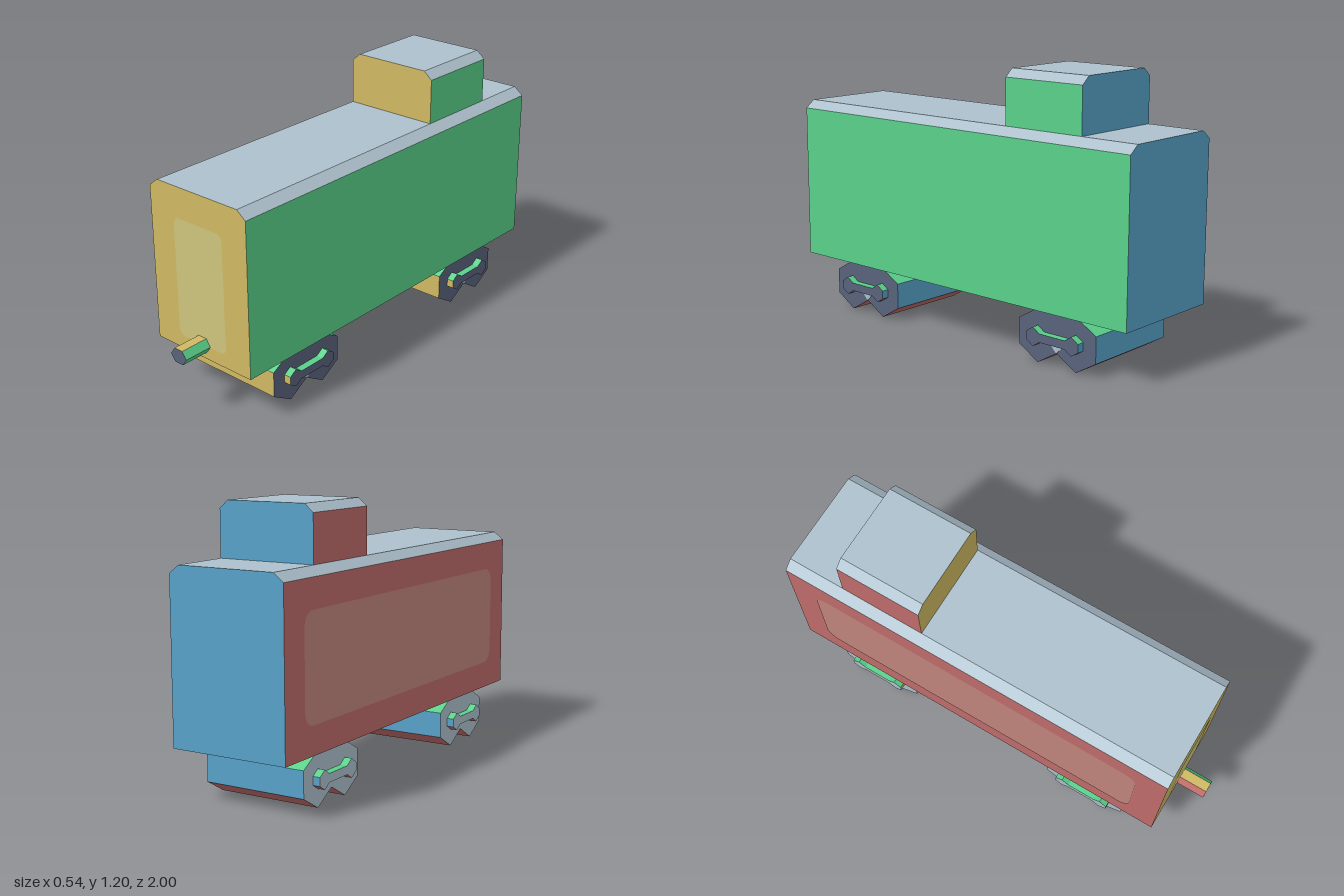
import * as THREE from 'three';

const mat = (name, color) => {
  const m = new THREE.MeshStandardMaterial({ color });
  m.name = name;
  return m;
};

export function createModel() {
  const green = mat('green', 0x59d08a), red = mat('brick red', 0xbd6c6a);
  const ochre = mat('ochre', 0xcfb962), blue = mat('blue', 0x58a2ca);
  const roof = mat('pale blue grey', 0xacc0cc), slate = mat('slate', 0x58627a);
  const paleOchre = mat('pale ochre', 0xcdc57c), paleRed = mat('pale brick', 0xc0847b);

  const group = new THREE.Group();

  // Extrude a profile; each face takes the colour of its main direction.
  // Colours are listed as +x, -x, +y, -y, +z, -z.
  function prism(name, points, from, to, colours, alongX = false) {
    const shape = new THREE.Shape(points.map(([x, y]) => new THREE.Vector2(x, y)));
    let geo = new THREE.ExtrudeGeometry(shape, { depth: to - from, bevelEnabled: false });
    geo.translate(0, 0, from);
    if (alongX) geo.rotateY(Math.PI / 2);
    if (geo.index) geo = geo.toNonIndexed();
    geo.computeVertexNormals();
    geo.clearGroups();
    const n = geo.attributes.normal;
    for (let i = 0; i < n.count; i += 3) {
      const v = [n.getX(i), n.getY(i), n.getZ(i)];
      const size = v.map(Math.abs);
      const axis = size.indexOf(Math.max(...size));
      geo.addGroup(i, 3, axis * 2 + (v[axis] < 0 ? 1 : 0));
    }
    const mesh = new THREE.Mesh(geo, colours);
    mesh.name = name;
    return mesh;
  }

  // Box outline with chamfered upper corners
  const roofed = (w, y0, y1, cx, cy) => [
    [-w, y0], [w, y0], [w, y1 - cy], [w - cx, y1], [-w + cx, y1], [-w, y1 - cy],
  ];

  const bodyColours = [green, red, roof, slate, ochre, blue];
  group.add(prism('carBody', roofed(0.268, 0.233, 0.965, 0.045, 0.035), -1, 0.865, bodyColours));
  group.add(prism('roofCabin', roofed(0.223, 0.965, 1.2, 0.04, 0.034), -0.733, -0.337, bodyColours));

  // Hexagonal front coupling
  const hex = [[0.044, 0.298], [0.022, 0.33], [-0.022, 0.33],
    [-0.044, 0.298], [-0.022, 0.266], [0.022, 0.266]];
  group.add(prism('coupling', hex, 0.865, 1, [green, red, ochre, blue, slate, roof]));

  // Rounded painted panels
  function panel(name, w, h, r, material) {
    const s = new THREE.Shape();
    const x = w / 2, y = h / 2;
    s.absarc(x - r, y - r, r, 0, Math.PI / 2);
    s.absarc(-x + r, y - r, r, Math.PI / 2, Math.PI);
    s.absarc(-x + r, -y + r, r, Math.PI, Math.PI * 1.5);
    s.absarc(x - r, -y + r, r, Math.PI * 1.5, Math.PI * 2);
    const mesh = new THREE.Mesh(new THREE.ShapeGeometry(s, 6), material);
    mesh.name = name;
    group.add(mesh);
    return mesh;
  }
  panel('frontPanel', 0.27, 0.535, 0.03, paleOchre).position.set(0, 0.562, 0.867);
  const side = panel('sidePanel', 1.6, 0.45, 0.06, paleRed);
  side.rotation.y = -Math.PI / 2;
  side.position.set(-0.27, 0.58, -0.068);

  // Wheel trucks: two joined hexagonal wheels with a raised linking rod
  const truckColours = [slate, roof, green, red, ochre, blue];
  const mirror = (half) => [...half, ...half.slice().reverse().map(([x, y]) => [-x, y])];
  const wheels = [...mirror([[0.1, 0.005], [0.2, 0.06], [0.2, 0.175], [0.1, 0.233]]), [0, 0.06]]
    .map(([x, y]) => [x, y === 0.005 ? 0 : y]);
  const rod = mirror([[0.066, 0.1], [0.1, 0.078], [0.135, 0.1],
    [0.135, 0.137], [0.1, 0.16], [0.066, 0.137]]);
  for (const [name, z] of [['frontTruck', 0.5], ['rearTruck', -0.63]]) {
    const truck = new THREE.Group();
    truck.name = name;
    truck.position.z = z;
    truck.add(prism('wheelPair', wheels, -0.235, 0.235, truckColours, true));
    truck.add(prism('linkingRod', rod, -0.268, 0.268, truckColours, true));
    // Pale wedge between the wheels
    truck.add(prism('wedge', [[0, 0.06], [0.04, 0.1], [-0.04, 0.1]], 0.234, 0.238,
      [roof, roof, roof, roof, roof, roof], true));
    group.add(truck);
  }
  return group;
}
